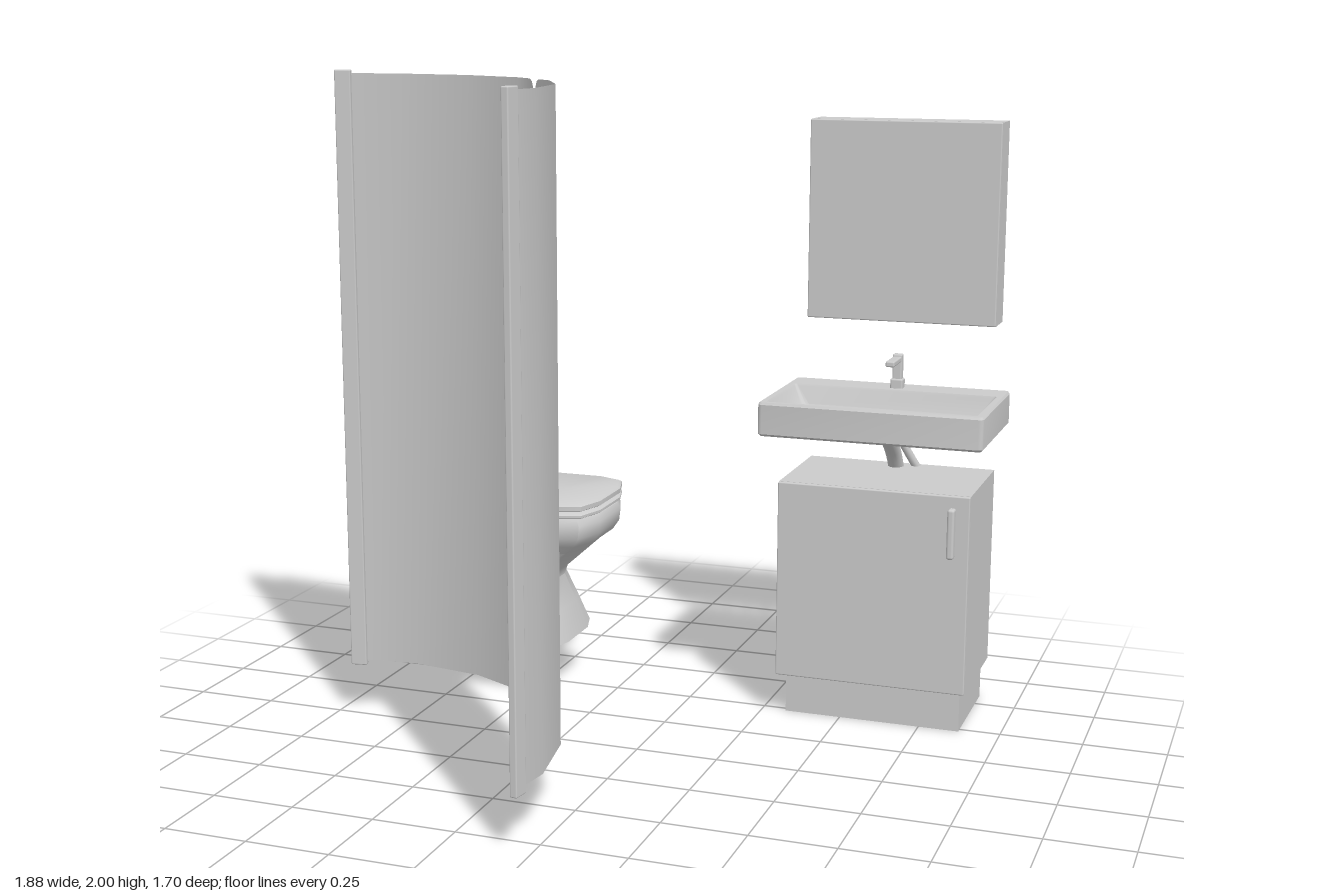
import * as THREE from 'three';
import { toCreasedNormals } from 'three/addons/utils/BufferGeometryUtils.js';
import { RoundedBoxGeometry } from 'three/addons/geometries/RoundedBoxGeometry.js';

const grey = new THREE.MeshStandardMaterial({ color: 0xcccccc });
const sheet = new THREE.MeshStandardMaterial({ color: 0xcccccc, side: THREE.DoubleSide });

function add(parent, name, geometry, material = grey) {
  const mesh = new THREE.Mesh(geometry, material);
  mesh.name = name;
  parent.add(mesh);
  return mesh;
}

function group(parent, name) {
  const g = new THREE.Group();
  g.name = name;
  parent.add(g);
  return g;
}

// Box given by its extents, with an optional edge radius
function box(parent, name, [x0, x1], [y0, y1], [z0, z1], r = 0) {
  const size = [x1 - x0, y1 - y0, z1 - z0];
  const geo = r ? new RoundedBoxGeometry(...size, 2, r) : new THREE.BoxGeometry(...size);
  const mesh = add(parent, name, geo);
  mesh.position.set((x0 + x1) / 2, (y0 + y1) / 2, (z0 + z1) / 2);
  return mesh;
}

// Skin a stack of horizontal rings and cap both ends; dip lowers the last cap's centre
function loft(rings, crease = 0.6, dip = 0) {
  const n = rings[0].length, pos = [], idx = [];
  rings.forEach(ring => ring.forEach(p => pos.push(...p)));
  for (let r = 0; r < rings.length - 1; r++) {
    for (let i = 0; i < n; i++) {
      const j = (i + 1) % n, a = r * n, b = a + n;
      idx.push(a + i, a + j, b + j, a + i, b + j, b + i);
    }
  }
  [0, rings.length - 1].forEach((r, end) => {
    const ring = rings[r], c = pos.length / 3;
    const mid = k => ring.reduce((s, p) => s + p[k], 0) / n;
    pos.push(mid(0), mid(1) - (end ? dip : 0), mid(2));
    for (let i = 0; i < n; i++) {
      const a = r * n + i, b = r * n + (i + 1) % n;
      idx.push(c, end ? a : b, end ? b : a);
    }
  });
  const geo = new THREE.BufferGeometry();
  geo.setAttribute('position', new THREE.Float32BufferAttribute(pos, 3));
  geo.setIndex(idx);
  return toCreasedNormals(geo, crease);
}

// Square-backed, round-nosed toilet outline
const nose = [[0, -1], [0, 1], [0.8, 1], [0.945, 0.86], [1, 0.42],
  [1, -0.42], [0.945, -0.86], [0.8, -1]];
const noseRing = ([y, back, front, half]) =>
  nose.map(([u, v]) => [back + u * (front - back), y, -0.505 + v * half]);

// Rectangle with rounded corners
function rectRing([y, x0, x1, z0, z1, r]) {
  const ring = [];
  [[x1, z0, -1, 1], [x0, z0, 1, 1], [x0, z1, 1, -1], [x1, z1, -1, -1]].forEach(([x, z, sx, sz], c) => {
    for (let k = 0; k <= 3; k++) {
      const a = (c + k / 3) * Math.PI / 2;
      ring.push([x + sx * r + Math.cos(a) * r, y, z + sz * r - Math.sin(a) * r]);
    }
  });
  return ring;
}

function tube(parent, name, points, radius) {
  const curve = new THREE.CatmullRomCurve3(points.map(p => new THREE.Vector3(...p)));
  add(parent, name, new THREE.TubeGeometry(curve, 12, radius, 12), sheet);
}

// Upright curved sheet along a path of [x, z, end inset]
function glassPanel(parent, name, path) {
  const pos = [], idx = [];
  path.forEach(([x, z, inset = 0], i) => {
    pos.push(x, 0.18 + inset, z, x, 1.99 - inset, z);
    const a = i * 2;
    if (i) idx.push(a - 2, a, a + 1, a - 2, a + 1, a - 1);
  });
  const geo = new THREE.BufferGeometry();
  geo.setAttribute('position', new THREE.Float32BufferAttribute(pos, 3));
  geo.setIndex(idx);
  geo.computeVertexNormals();
  add(parent, name, geo, sheet);
}

function buildShower(parent) {
  const g = group(parent, 'showerScreen');
  glassPanel(g, 'wideGlassDoor', [[-0.93, 0.01], [-0.89, 0.003], [-0.74, -0.015], [-0.51, 0.02],
    [-0.31, 0.12], [-0.25, 0.18], [-0.24, 0.19, 0.006], [-0.233, 0.197, 0.022]]);
  glassPanel(g, 'narrowGlassDoor', [[-0.222, 0.207, 0.022], [-0.215, 0.214, 0.006], [-0.205, 0.224],
    [-0.15, 0.28], [-0.05, 0.48], [-0.012, 0.7], [-0.03, 0.82]]);
  // Wall channels
  box(g, 'backWallChannel', [-0.945, -0.895], [0.165, 2], [0, 0.02], 0.004).rotation.y = 0.15;
  box(g, 'sideWallChannel', [-0.041, -0.019], [0.165, 2], [0.8, 0.85], 0.004).rotation.y = -0.15;
  // Handles on the outer face, either side of the gap
  for (const [x, z] of [[-0.256, 0.157], [-0.188, 0.223]]) {
    const handle = add(g, 'doorHandle', new RoundedBoxGeometry(0.032, 0.14, 0.022, 2, 0.007));
    handle.position.set(x, 1.17, z);
    handle.rotation.y = -Math.PI / 4;
  }
}

function buildToilet(parent) {
  const g = group(parent, 'toilet');
  // Bowl and pedestal: height, back, front, half width
  add(g, 'bowl', loft([
    [0.165, -0.9, -0.39, 0.205], [0.26, -0.89, -0.425, 0.175], [0.35, -0.88, -0.46, 0.145],
    [0.38, -0.88, -0.45, 0.148], [0.48, -0.9, -0.34, 0.18], [0.51, -0.915, -0.3, 0.203],
    [0.54, -0.93, -0.28, 0.216], [0.58, -0.93, -0.275, 0.217], [0.6, -0.93, -0.285, 0.208],
  ].map(noseRing), 0.75));
  // Seat and lid
  for (const [name, y, h] of [['seat', 0.605, 0.018], ['lid', 0.628, 0.024]]) {
    add(g, name, loft([
      [y, -0.8, -0.283, 0.207], [y + 0.004, -0.8, -0.276, 0.214],
      [y + h - 0.006, -0.8, -0.276, 0.214], [y + h, -0.8, -0.285, 0.205],
    ].map(noseRing)));
  }
  box(g, 'seatHinge', [-0.81, -0.77], [0.6, 0.64], [-0.66, -0.35], 0.005);
  // Cistern
  box(g, 'cistern', [-0.925, -0.797], [0.6, 1.115], [-0.715, -0.295], 0.012);
  box(g, 'cisternLid', [-0.932, -0.79], [1.11, 1.172], [-0.72, -0.288], 0.018);
  for (const z of [-0.545, -0.46]) {
    box(g, 'flushButton', [-0.877, -0.837], [1.162, 1.181], [z - 0.038, z + 0.038], 0.007);
  }
}

function buildBasin(parent) {
  const g = group(parent, 'washbasin');
  // Outer walls, rim, then inner walls down to the floor
  add(g, 'basin', loft([
    [0.9, 0.252, 0.928, -0.833, -0.397, 0.01], [0.907, 0.245, 0.935, -0.84, -0.39, 0.014],
    [0.998, 0.245, 0.935, -0.84, -0.39, 0.014], [1.005, 0.25, 0.93, -0.835, -0.395, 0.01],
    [1.005, 0.267, 0.913, -0.73, -0.412, 0.01], [0.998, 0.272, 0.908, -0.727, -0.417, 0.01],
    [0.945, 0.3, 0.88, -0.712, -0.435, 0.02], [0.932, 0.32, 0.86, -0.7, -0.45, 0.02],
  ].map(rectRing), 0.6, 0.008));
  const drain = add(g, 'drain', new THREE.TorusGeometry(0.02, 0.007, 8, 24));
  drain.position.set(0.59, 0.932, -0.64);
  drain.rotation.x = Math.PI / 2;
  add(g, 'drainPlug', new THREE.CylinderGeometry(0.015, 0.018, 0.016, 20)).position.set(0.59, 0.931, -0.64);
  // Tap with flared foot and flat spout
  box(g, 'tapFoot', [0.57, 0.61], [1, 1.035], [-0.795, -0.755], 0.006);
  box(g, 'tapBody', [0.575, 0.605], [1.02, 1.112], [-0.79, -0.76], 0.005);
  box(g, 'tapSpout', [0.576, 0.604], [1.088, 1.106], [-0.785, -0.66], 0.005);
  // Waste pipe and supply hose
  tube(g, 'wastePipe', [[0.59, 0.91, -0.61], [0.59, 0.87, -0.66], [0.59, 0.8, -0.745], [0.59, 0.73, -0.8]], 0.025);
  tube(g, 'supplyHose', [[0.6, 0.91, -0.77], [0.605, 0.85, -0.77], [0.63, 0.79, -0.79], [0.66, 0.73, -0.815]], 0.013);
}

function buildCabinets(parent) {
  const g = group(parent, 'vanityCabinet');
  box(g, 'plinth', [0.325, 0.875], [0, 0.135], [-0.825, -0.48]);
  box(g, 'cabinetBody', [0.3, 0.895], [0.13, 0.75], [-0.83, -0.455]);
  box(g, 'cabinetDoor', [0.3, 0.895], [0.13, 0.75], [-0.456, -0.44], 0.004);
  box(g, 'cabinetHandle', [0.832, 0.854], [0.56, 0.715], [-0.444, -0.41], 0.008);
  const m = group(parent, 'mirrorCabinet');
  box(m, 'mirrorCabinetBody', [0.305, 0.9], [1.22, 1.84], [-0.85, -0.742]);
  box(m, 'mirrorDoor', [0.305, 0.9], [1.22, 1.84], [-0.743, -0.73], 0.004);
}

export function createModel() {
  const model = new THREE.Group();
  model.name = 'bathroomSet';
  buildShower(model);
  buildToilet(model);
  buildBasin(model);
  buildCabinets(model);
  return model;
}
